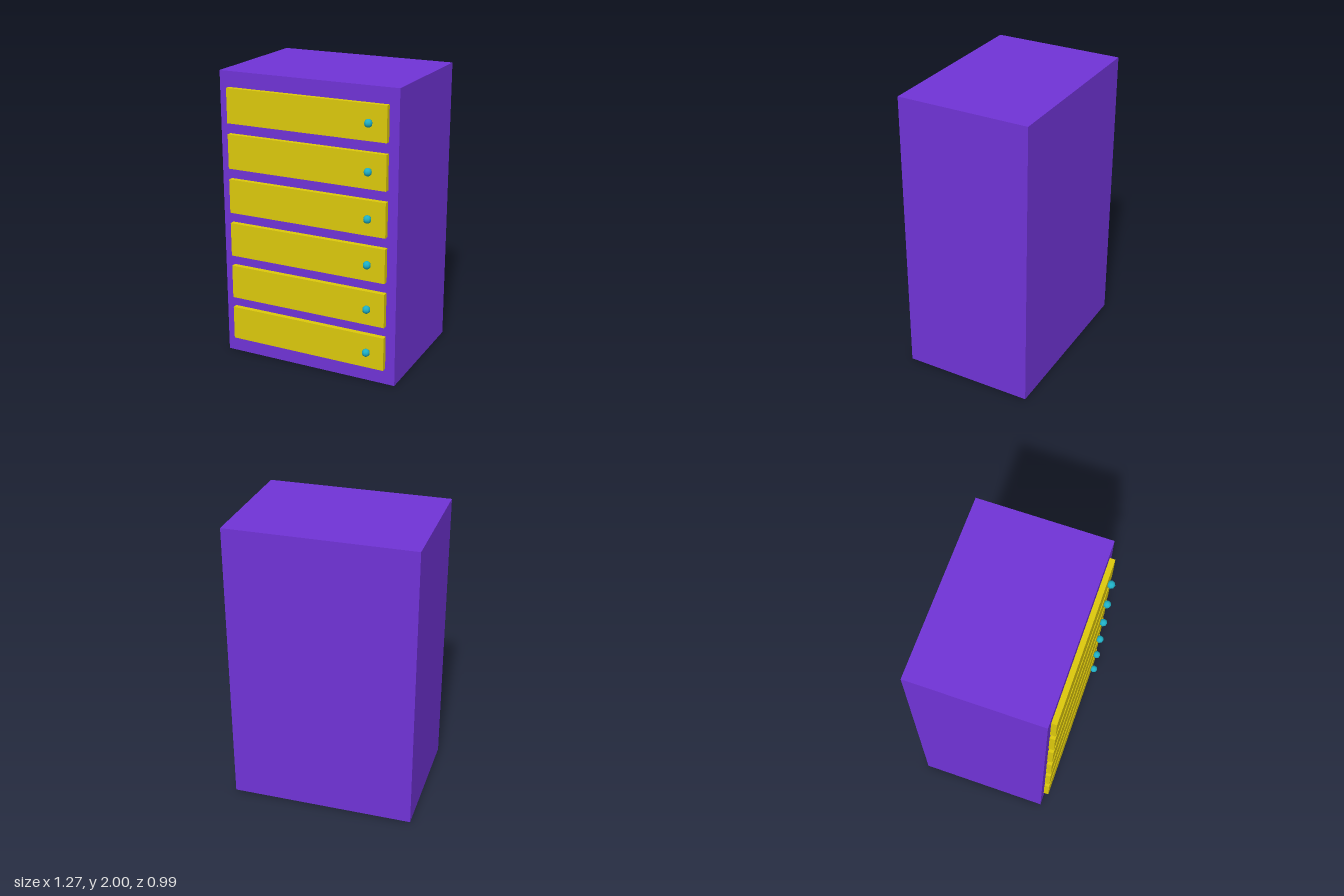
import * as THREE from 'three';

const DRAWERS = 6;
const PITCH = 0.3095;      // vertical spacing between drawers
const FIRST_Y = 0.23;      // centre height of the lowest drawer
const BACK = -0.495;
const FRONT = 0.412;       // front face of the cabinet

export function createModel() {
  const model = new THREE.Group();
  model.name = 'chestOfDrawers';

  const purple = new THREE.MeshStandardMaterial({ color: 0x7033d6 });
  const yellow = new THREE.MeshStandardMaterial({ color: 0xdcc80c });
  const teal = new THREE.MeshStandardMaterial({ color: 0x1fb0c6 });

  const add = (parent, name, geometry, material, x, y, z) => {
    const mesh = new THREE.Mesh(geometry, material);
    mesh.name = name;
    mesh.position.set(x, y, z);
    parent.add(mesh);
  };

  // Cabinet body
  const depth = FRONT - BACK;
  add(model, 'cabinet', new THREE.BoxGeometry(1.27, 2, depth), purple, 0, 1, BACK + depth / 2);

  // Drawer fronts, each with a small round knob near the left end
  const panel = new THREE.BoxGeometry(1.136, 0.235, 0.036);
  const ball = new THREE.SphereGeometry(0.027, 8, 8);
  for (let i = 0; i < DRAWERS; i++) {
    const drawer = new THREE.Group();
    drawer.name = `drawer${i + 1}`;
    drawer.position.set(0, FIRST_Y + i * PITCH, FRONT);
    add(drawer, 'drawerFront', panel, yellow, 0, 0, 0.018);
    add(drawer, 'knob', ball, teal, 0.452, 0, 0.056);
    model.add(drawer);
  }

  return model;
}
